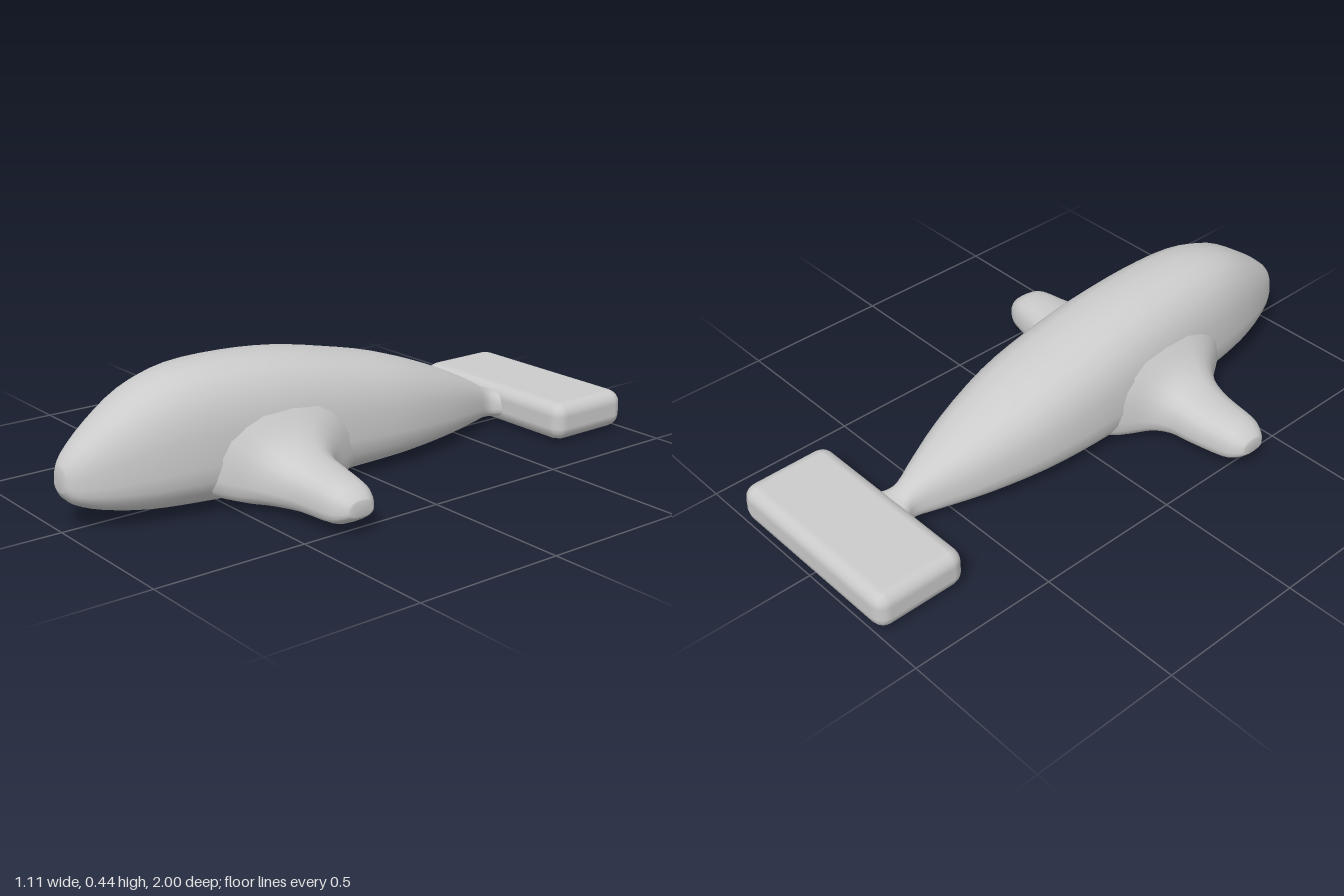
import * as THREE from 'three';
import { RoundedBoxGeometry } from 'three/addons/geometries/RoundedBoxGeometry.js';

const grey = new THREE.MeshStandardMaterial({ color: 0xcccccc });

// Smooth interpolation between the rows of a section table
function smoothRows(rows, steps) {
  const out = [];
  const at = (i) => rows[Math.min(Math.max(i, 0), rows.length - 1)];
  for (let i = 0; i < rows.length - 1; i++) {
    for (let k = 0; k < steps; k++) {
      const t = k / steps;
      out.push(rows[i].map((b, n) => {
        const a = at(i - 1)[n], c = at(i + 1)[n], d = at(i + 2)[n];
        return b + 0.5 * t * (c - a + t * (2 * a - 5 * b + 4 * c - d + t * (3 * (b - c) + d - a)));
      }));
    }
  }
  out.push(rows[rows.length - 1]);
  return out;
}

// Closed skin over sections [z, centre x, half width, bottom, top], z decreasing.
// "waist" is the height of the widest line as a share of the section height.
function loft(rows, waist, sides = 24, power = 0.8) {
  const sections = smoothRows(rows, 3);
  const pos = [], index = [];
  const bulge = (v) => Math.sign(v) * Math.abs(v) ** power;
  for (const [z, cx, half, low, high] of sections) {
    const mid = low + (high - low) * waist;
    for (let j = 0; j < sides; j++) {
      const a = (j / sides) * Math.PI * 2, s = bulge(Math.sin(a));
      pos.push(cx + half * bulge(Math.cos(a)), mid + s * (s > 0 ? high - mid : mid - low), z);
    }
  }
  const last = sections.length - 1, first = pos.length / 3;
  for (const [z, cx, , low, high] of [sections[0], sections[last]]) {
    pos.push(cx, low + (high - low) * 0.5, z);
  }
  for (let j = 0; j < sides; j++) {
    const k = (j + 1) % sides;
    for (let i = 0; i < last; i++) {
      const a = i * sides + j, b = i * sides + k;
      index.push(a, a + sides, b, b, a + sides, b + sides);
    }
    index.push(first, j, k, first + 1, last * sides + k, last * sides + j);
  }
  const geo = new THREE.BufferGeometry();
  geo.setAttribute('position', new THREE.Float32BufferAttribute(pos, 3));
  geo.setIndex(index);
  geo.computeVertexNormals();
  return geo;
}

function part(name, geometry) {
  const mesh = new THREE.Mesh(geometry, grey);
  mesh.name = name;
  return mesh;
}

export function createModel() {
  const group = new THREE.Group();
  group.name = 'whale';

  // Body, from the blunt nose to the flared tail root
  group.add(part('body', loft([
    [1.0, 0, 0.03, 0.13, 0.20],
    [0.97, 0, 0.065, 0.09, 0.245],
    [0.88, 0, 0.11, 0.055, 0.32],
    [0.75, 0, 0.152, 0.03, 0.40],
    [0.6, 0, 0.18, 0.018, 0.44],
    [0.4, 0, 0.197, 0.008, 0.443],
    [0.2, 0, 0.203, 0.005, 0.425],
    [0, 0, 0.203, 0.006, 0.385],
    [-0.2, 0, 0.186, 0.01, 0.335],
    [-0.4, 0, 0.14, 0.018, 0.26],
    [-0.55, 0, 0.085, 0.025, 0.19],
    [-0.63, 0, 0.054, 0.03, 0.145],
    [-0.67, 0, 0.068, 0.03, 0.125],
    [-0.71, 0, 0.10, 0.03, 0.12],
  ], 0.35)));

  // Side fins: [distance from centre, centre z, half chord, bottom, top]
  const fin = [
    [0.14, 0.30, 0.33, 0.02, 0.36],
    [0.19, 0.31, 0.25, 0.012, 0.285],
    [0.235, 0.33, 0.165, 0.014, 0.228],
    [0.29, 0.335, 0.12, 0.018, 0.19],
    [0.37, 0.33, 0.103, 0.025, 0.168],
    [0.49, 0.335, 0.083, 0.03, 0.153],
    [0.535, 0.335, 0.062, 0.048, 0.13],
    [0.555, 0.335, 0.04, 0.065, 0.112],
  ];
  for (const side of [1, -1]) {
    const rows = fin.map(([d, cz, ...rest]) => [-d, side * cz, ...rest]);
    const geo = loft(rows, 0.36, 20);
    geo.rotateY(-side * Math.PI / 2);
    group.add(part(side > 0 ? 'leftFin' : 'rightFin', geo));
  }

  // Flat rectangular tail fluke
  const tail = part('tail', new RoundedBoxGeometry(0.69, 0.13, 0.32, 2, 0.045));
  tail.position.set(0, 0.075, -0.84);
  group.add(tail);

  return group;
}
